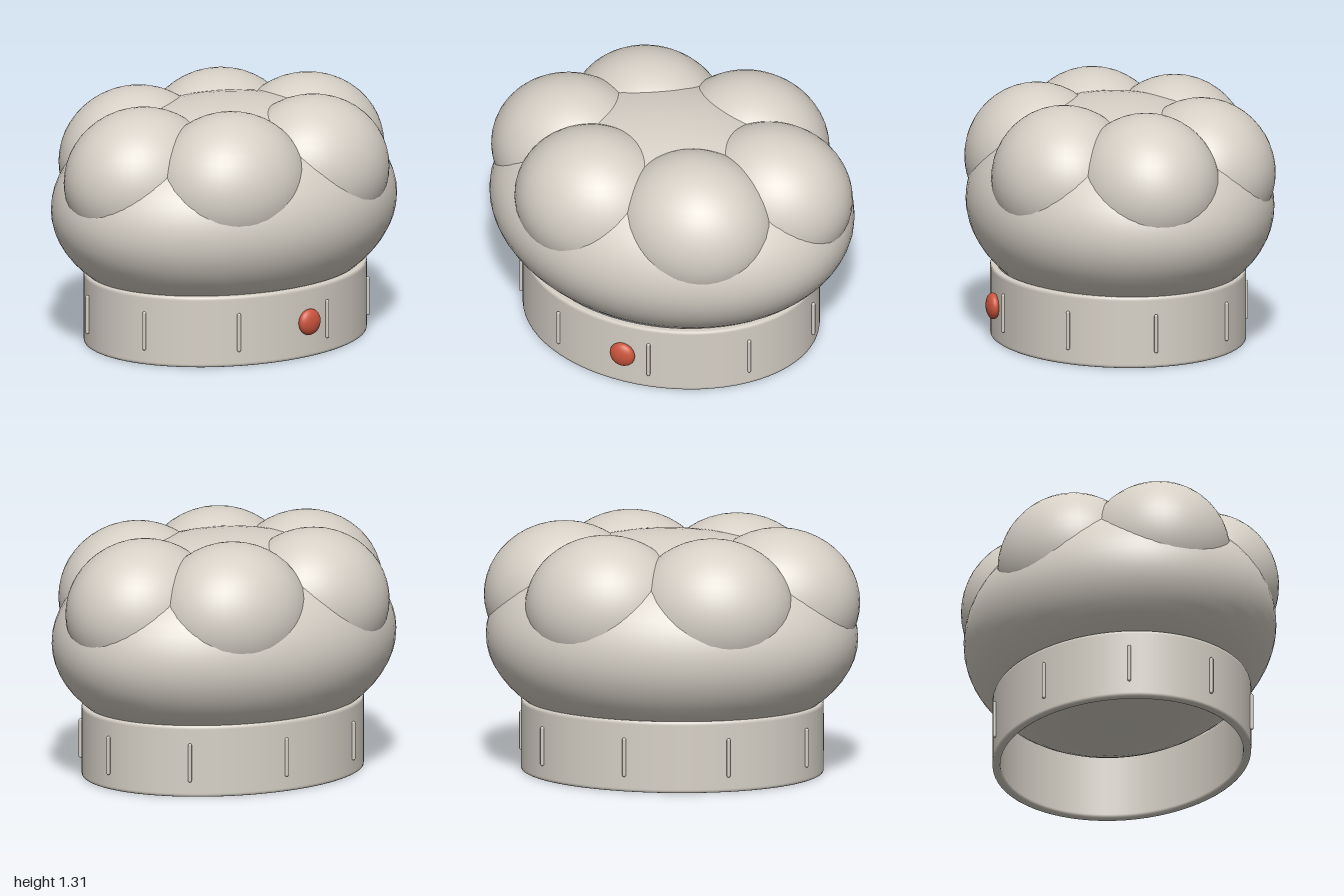
import * as THREE from 'three';

const fabric = new THREE.MeshStandardMaterial({ color: 0xd6d0c6 });
fabric.name = 'fabric';
const red = new THREE.MeshStandardMaterial({ color: 0xcb553d });
red.name = 'buttonRed';

// Smooth ellipsoid with the given centre and radii
function ellipsoid(name, material, [x, y, z], [rx, ry, rz], segments = 48) {
  const geometry = new THREE.SphereGeometry(1, segments, segments / 2).scale(rx, ry, rz);
  const mesh = new THREE.Mesh(geometry, material);
  mesh.name = name;
  mesh.position.set(x, y, z);
  return mesh;
}

export function createModel() {
  const group = new THREE.Group();
  group.name = 'chefHat';
  const bandZ = 0.01;

  // Hollow oval headband: inner wall down, outer wall up, small bevels
  const profile = [
    [0.76, 0.38], [0.752, 0.376], [0.75, 0.366], [0.75, 0.36],
    [0.75, 0.02], [0.75, 0.014], [0.752, 0.004], [0.76, 0],
    [0.766, 0], [0.784, 0], [0.79, 0],
    [0.798, 0.004], [0.8, 0.014], [0.8, 0.02],
    [0.8, 0.36], [0.8, 0.366], [0.798, 0.376], [0.79, 0.38],
    [0.784, 0.38], [0.766, 0.38], [0.76, 0.38],
  ].map(([r, y]) => new THREE.Vector2(r, y));
  const band = new THREE.Mesh(new THREE.LatheGeometry(profile, 72).scale(1, 1, 0.831), fabric);
  band.name = 'headband';
  band.position.z = bandZ;
  group.add(band);

  // Nine thin vertical pleats around the band
  const pleatGeometry = new THREE.CapsuleGeometry(0.01, 0.19, 4, 10);
  for (let i = 0; i < 9; i++) {
    const a = (i * 40 * Math.PI) / 180;
    const pleat = new THREE.Mesh(pleatGeometry, fabric);
    pleat.name = `pleat${i + 1}`;
    pleat.position.set(0.808 * Math.cos(a), 0.185, bandZ + 0.67 * Math.sin(a));
    group.add(pleat);
  }

  // Wide puffed body
  group.add(ellipsoid('puffBody', fabric, [0, 0.72, 0], [0.985, 0.56, 0.8], 64));

  // Six lobes in an oval ring on top
  for (let i = 0; i < 6; i++) {
    const a = (i * Math.PI) / 3;
    const centre = [0.57 * Math.cos(a), 0.922, 0.43 * Math.sin(a)];
    group.add(ellipsoid(`puffLobe${i + 1}`, fabric, centre, [0.43, 0.39, 0.385]));
  }

  // Button on the front of the band
  group.add(ellipsoid('button', red, [0, 0.195, 0.69], [0.07, 0.07, 0.036], 32));

  return group;
}
